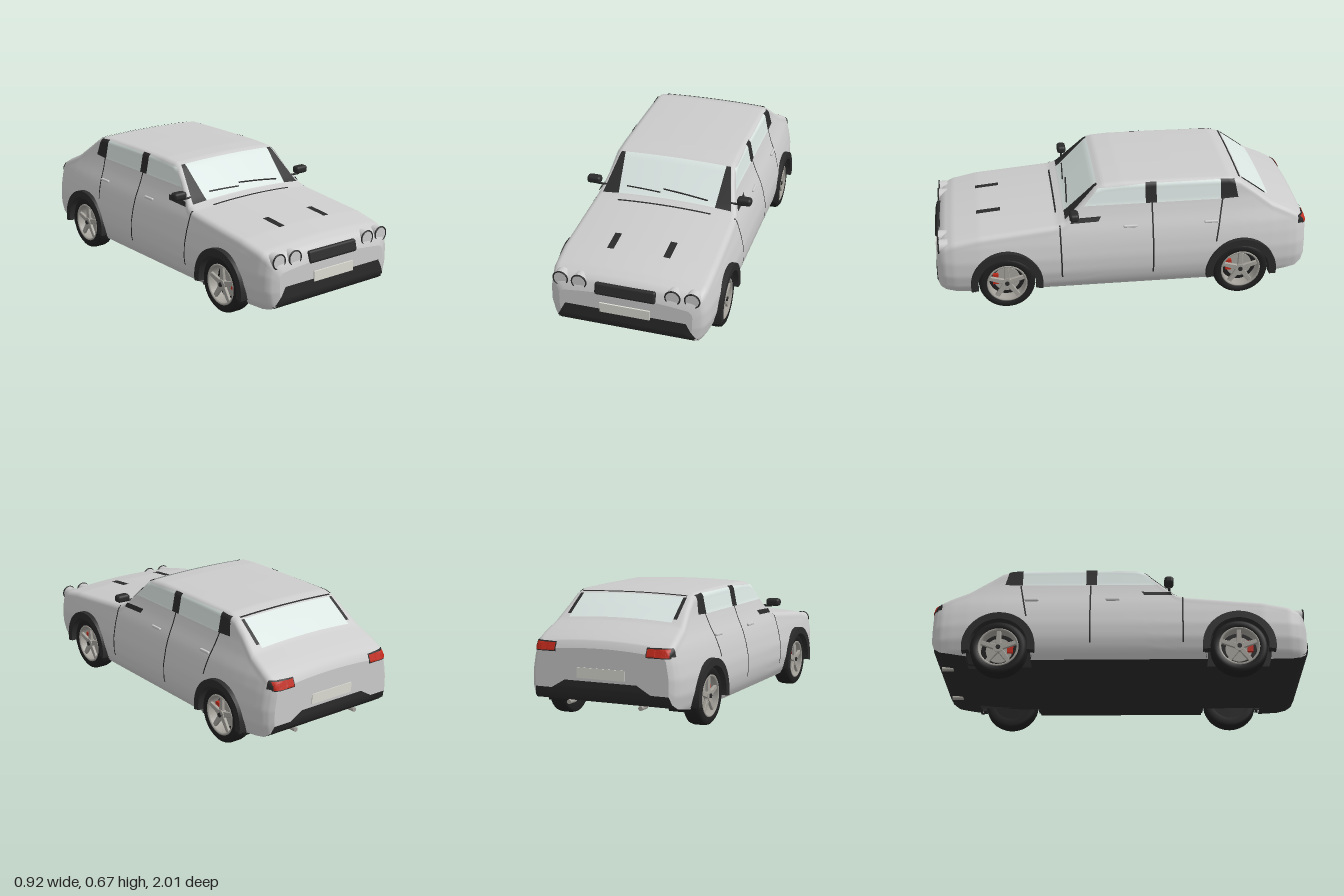
import * as THREE from 'three';
import { RoundedBoxGeometry } from 'three/addons/geometries/RoundedBoxGeometry.js';

const mat = (color, side = THREE.DoubleSide) => new THREE.MeshStandardMaterial({ color, side });
const GREY = mat(0xcccccc), BLACK = mat(0x2b2b2c), RUBBER = mat(0x1f1f20), GLASS = mat(0xd9e4e1);
const RIM = mat(0xa5a29b), RED = mat(0xc02a1c), PLATE = mat(0xdcdcd4);
const WHEEL_Z = [0.625, -0.64], WHEEL_Y = 0.15;

// Body rows along z: [z, bottom, top, half width]
const ROWS = [
  [-1, .2, .41, .37], [-.985, .16, .445, .39], [-.95, .135, .465, .41], [-.9, .125, .49, .42],
  [-.81, .11, .53, .43], [-.72, .1, .595, .435], [-.64, .095, .65, .437], [-.58, .09, .668, .437],
  [-.3, .09, .672, .437], [0, .09, .672, .437], [.1, .09, .665, .437], [.14, .09, .648, .437],
  [.3, .09, .495, .437], [.35, .09, .478, .437], [.76, .09, .44, .433], [.9, .095, .413, .42],
  [.95, .105, .39, .405], [.975, .12, .365, .385], [.99, .15, .32, .35],
];
// Share of the half width at each height
const SIDE = [[.09, .9], [.13, .96], [.2, 1], [.28, 1], [.36, .965], [.42, .925], [.49, .855], [.56, .8], [.67, .75]];
const R = 0.035; // shoulder radius

function lookup(table, x) {
  let i = 1;
  while (i < table.length - 1 && table[i][0] < x) i++;
  const a = table[i - 1], b = table[i];
  const t = THREE.MathUtils.clamp((x - a[0]) / (b[0] - a[0]), 0, 1);
  return a.map((v, k) => v + (b[k] - v) * t);
}
function row(z) {
  const [, B, T, W] = lookup(ROWS, z);
  const crown = THREE.MathUtils.mapLinear(THREE.MathUtils.clamp(T, .45, .65), .45, .65, .02, .008);
  const yS = T - crown - R, E = W * lookup(SIDE, yS)[1] - R;
  return { B, T, W, crown, yS, E };
}
function sideX(z, y) {
  const { W, yS } = row(z), t = THREE.MathUtils.clamp((y - yS) / R, 0, 1);
  return W * lookup(SIDE, Math.min(y, yS))[1] - R * (1 - Math.sqrt(1 - t * t));
}
function topY(z, x) {
  const { T, crown, yS, E } = row(z), ax = Math.abs(x);
  if (ax < E) return T - crown * (x / E) ** 2;
  return yS + R * Math.sqrt(Math.max(0, 1 - ((ax - E) / R) ** 2));
}
// Where the nose (dir 1) or tail (dir -1) is met at x, y
function endZ(dir, x, y) {
  let z = dir > 0 ? .99 : -1;
  for (let i = 0; i < 120; i++, z -= dir * .002) {
    const { B, T, crown } = row(z);
    if (y >= B && y <= topY(z, x) && Math.abs(x) <= sideX(z, Math.min(y, T - crown))) break;
  }
  return z;
}

// Indexed grid from a point rule, with an optional test for leaving cells out
function grid(fn, nu, nv, keep = () => true) {
  const P = [], idx = [];
  for (let i = 0; i <= nu; i++) for (let j = 0; j <= nv; j++) P.push(fn(i / nu, j / nv, i, j));
  for (let i = 0; i < nu; i++) for (let j = 0; j < nv; j++) {
    const a = i * (nv + 1) + j, b = a + nv + 1;
    if (keep(P[a].clone().add(P[b + 1]).multiplyScalar(.5))) idx.push(a, b, a + 1, b, b + 1, a + 1);
  }
  const g = new THREE.BufferGeometry().setFromPoints(P);
  g.setIndex(idx);
  g.computeVertexNormals();
  return g;
}
const bilinear = (c, u, v) => [0, 1].map(k =>
  (c[0][k] * (1 - u) + c[1][k] * u) * (1 - v) + (c[3][k] * (1 - u) + c[2][k] * u) * v);

export function createModel() {
  const car = new THREE.Group();
  car.name = 'car';
  const add = (name, geo, material, parent = car, pos = [0, 0, 0], rot = [0, 0, 0]) => {
    const m = new THREE.Mesh(geo, material);
    m.name = name;
    m.position.set(...pos);
    m.rotation.set(...rot);
    parent.add(m);
    return m;
  };
  // Panels lying on the body: side corners are [z, y], end corners [x, y], top corners [x, z]
  const sidePanel = (name, s, c, m, eps = .004) => add(name, grid((u, v) => {
    const [z, y] = bilinear(c, u, v);
    return new THREE.Vector3(s * (sideX(z, y) + eps), y, z);
  }, 16, 14), m);
  const endPanel = (name, dir, c, m, eps = .005) => add(name, grid((u, v) => {
    const [x, y] = bilinear(c, u, v);
    return new THREE.Vector3(x, y, endZ(dir, x, y) + dir * eps);
  }, 32, 8), m);
  const topPanel = (name, c, m, eps = .005) => add(name, grid((u, v) => {
    const [x, z] = bilinear(c, u, v);
    return new THREE.Vector3(x, topY(z, x) + eps, z);
  }, 16, 12), m);

  // Body shell and floor, open at the wheel wells
  const half = z => {
    const { B, T, crown, yS, E } = row(z), floor = [], shell = [], x0 = sideX(z, B);
    for (let i = 0; i <= 12; i++) floor.push([x0 * i / 12, B]);
    for (let i = 0; i <= 22; i++) { const y = B + (yS - B) * i / 22; shell.push([sideX(z, y), y]); }
    for (let i = 1; i <= 5; i++) {
      const a = i / 5 * Math.PI / 2;
      shell.push([E + R * Math.cos(a), yS + R * Math.sin(a)]);
    }
    for (let i = 7; i >= 0; i--) { const x = E * i / 8; shell.push([x, T - crown * (i / 8) ** 2]); }
    return { floor, shell };
  };
  const zs = ROWS.slice(1).flatMap((r, i) => {
    const a = ROWS[i][0], n = Math.ceil((r[0] - a) / .016);
    return Array.from({ length: n }, (_, k) => a + (r[0] - a) * k / n);
  }).concat(.99);
  const loft = key => {
    const loops = zs.map(z => {
      const h = half(z)[key], m = h.map(([x, y]) => [-x, y]).reverse();
      const pts = key === 'shell' ? [...h, ...m.slice(1)] : [...m, ...h.slice(1)];
      return pts.map(([x, y]) => new THREE.Vector3(x, y, z));
    });
    return grid((u, v, i, j) => loops[i][j], loops.length - 1, loops[0].length - 1,
      p => !(Math.abs(p.x) > .29 && WHEEL_Z.some(w => Math.hypot(p.z - w, p.y - WHEEL_Y) < .175)));
  };
  add('body', loft('shell'), GREY);
  add('underbody', loft('floor'), BLACK);
  for (const [name, z] of [['nose', .99], ['tail', -1]]) {
    const s = new THREE.Shape(half(z).shell.flatMap(([x, y]) => [new THREE.Vector2(x, y)]));
    half(z).shell.reverse().forEach(([x, y]) => s.lineTo(-x, y));
    add(name, new THREE.ShapeGeometry(s), GREY, car, [0, 0, z]);
  }

  // Windscreen, rear window and their dark frames
  topPanel('windscreen', [[-.27, .305], [.27, .305], [.285, .13], [-.285, .13]], GLASS);
  topPanel('rearWindow', [[-.29, -.8], [.29, -.8], [.285, -.65], [-.285, -.65]], GLASS);
  topPanel('rearWindowSeal', [[-.3, -.632], [.3, -.632], [.3, -.642], [-.3, -.642]], BLACK);
  topPanel('bonnetGap', [[-.26, .352], [.26, .352], [.26, .343], [-.26, .343]], BLACK, .002);
  for (const s of [-1, 1]) {
    topPanel('windscreenPillar', [[s * .27, .305], [s * .36, .305], [s * .308, .13], [s * .285, .13]], BLACK);
    topPanel('rearPillarTrim', [[s * .29, -.78], [s * .31, -.78], [s * .303, -.65], [s * .285, -.65]], BLACK);
    topPanel('bonnetVent', [[s * .15 - .018, .77], [s * .15 + .018, .77], [s * .15 + .018, .64], [s * .15 - .018, .64]], BLACK, .007);
  }
  // Wipers
  for (const [x1, z1, x2, z2] of [[-.23, .275, -.04, .285], [-.025, .27, .225, .285]]) {
    const pts = [0, .5, 1].map(t => {
      const x = x1 + (x2 - x1) * t, z = z1 + (z2 - z1) * t;
      return new THREE.Vector3(x, topY(z, x) + .011, z);
    });
    add('wiper', new THREE.TubeGeometry(new THREE.CatmullRomCurve3(pts), 8, .004, 6), BLACK);
  }

  // Side glass, pillars, door gaps, handles and mirrors
  for (const s of [-1, 1]) {
    sidePanel('frontSideWindow', s, [[.205, .55], [-.126, .55], [-.126, .653], [.125, .64]], GLASS);
    sidePanel('rearSideWindow', s, [[-.185, .55], [-.53, .55], [-.53, .653], [-.185, .653]], GLASS);
    sidePanel('centrePillar', s, [[-.126, .55], [-.185, .55], [-.185, .658], [-.126, .658]], BLACK, .005);
    sidePanel('rearQuarterTrim', s, [[-.53, .55], [-.625, .555], [-.605, .65], [-.53, .655]], BLACK, .005);
    sidePanel('mirrorMount', s, [[.28, .468], [.13, .472], [.115, .497], [.27, .492]], BLACK, .008);
    const gap = (z1, y1, z2, y2) => sidePanel('doorGap', s,
      [[z1 + .004, y1], [z1 - .004, y1], [z2 - .004, y2], [z2 + .004, y2]], BLACK, .003);
    gap(.33, .17, .335, .46);
    gap(-.16, .17, -.16, .55);
    gap(-.5, .33, -.54, .55);
    for (const z of [-.04, -.475]) {
      const x = sideX(z, .44);
      add('doorHandle', new RoundedBoxGeometry(.014, .014, .075, 2, .005), GREY, car, [s * (x + .006), .44, z]);
    }
    add('mirror', new RoundedBoxGeometry(.078, .042, .05, 3, .016), BLACK, car, [s * .421, .53, .262]);
    add('mirrorArm', new THREE.CylinderGeometry(.006, .006, .07, 8), BLACK, car, [s * .375, .508, .265], [0, 0, Math.PI / 2]);
  }

  // Front: grille, plate, lower intake and paired round lamps
  const rect = (x, y1, y2) => [[-x, y1], [x, y1], [x, y2], [-x, y2]];
  add('grille', new RoundedBoxGeometry(.32, .065, .03, 3, .013), BLACK, car, [0, .338, .98], [-.25, 0, 0]);
  endPanel('lowerIntake', 1, [[-.38, .108], [.38, .108], [.318, .225], [-.318, .225]], BLACK);
  add('frontPlate', new THREE.BoxGeometry(.264, .053, .008), PLATE, car, [0, .237, .996]);
  for (const s of [-1, 1]) for (const x of [.245, .345]) {
    const z = endZ(1, s * x, .345);
    add('headlamp', new THREE.CylinderGeometry(.037, .037, .05, 32), GREY, car, [s * x, .354, z - .022], [Math.PI / 2, 0, 0]);
    add('headlampRing', new THREE.TorusGeometry(.038, .004, 8, 36), BLACK, car, [s * x, .354, z + .002]);
  }

  // Rear: lamps, plate, valance and exhaust tips
  endPanel('rearValance', -1, [[-.38, .14], [.38, .14], [.2, .245], [-.2, .245]], BLACK);
  add('rearPlate', new THREE.BoxGeometry(.264, .053, .008), PLATE, car, [0, .285, -1]);
  for (const s of [-1, 1]) {
    endPanel('tailLampFrame', -1, [[s * .25, .383], [s * .375, .383], [s * .375, .432], [s * .25, .432]], BLACK, .005);
    endPanel('tailLamp', -1, [[s * .255, .388], [s * .37, .388], [s * .37, .427], [s * .255, .427]], RED, .008);
    sidePanel('tailLampSide', s, [[-.955, .39], [-.995, .39], [-.985, .43], [-.955, .43]], BLACK, .005);
    add('exhaustTip', new THREE.CylinderGeometry(.012, .012, .06, 12), RIM, car, [s * .2, .125, -.935], [Math.PI / 2, 0, 0]);
  }

  // Wheels with arches and wells, built facing local +z
  const V = (x, y) => new THREE.Vector2(x, y);
  const tyre = new THREE.LatheGeometry([V(.1, .34), V(.135, .337), V(.146, .345), V(.15, .36), V(.15, .41),
    V(.146, .423), V(.135, .432), V(.11, .432), V(.104, .42)], 48).rotateX(Math.PI / 2);
  const rim = new THREE.LatheGeometry([V(.096, .36), V(.096, .425), V(.101, .433), V(.108, .43), V(.108, .42)], 40).rotateX(Math.PI / 2);
  const a0 = -.15, a1 = Math.PI + .15;
  const arch = new THREE.Shape();
  arch.absarc(0, 0, .192, a0, a1, false);
  arch.absarc(0, 0, .154, a1, a0, true);
  const archGeo = new THREE.ExtrudeGeometry(arch, { depth: .052, bevelEnabled: false, curveSegments: 32 });
  const wall = new THREE.Shape().absarc(0, 0, .18, -.33, Math.PI + .33, false);
  const wallGeo = new THREE.ShapeGeometry(wall, 32);
  const wellGeo = grid((u, v) => {
    const a = -.33 + u * (Math.PI + .66);
    return new THREE.Vector3(.18 * Math.cos(a), .18 * Math.sin(a), .28 + .13 * v);
  }, 32, 1);
  const spoke = new THREE.Shape([V(-.013, .015), V(.013, .015), V(.009, .1), V(-.009, .1)]);
  const spokeGeo = new THREE.ExtrudeGeometry(spoke, { depth: .012, bevelEnabled: true, bevelSize: .002, bevelThickness: .002, bevelSegments: 1 });
  const disc = (r, h) => new THREE.CylinderGeometry(r, r, h, 32).rotateX(Math.PI / 2);
  for (const s of [-1, 1]) for (const wz of WHEEL_Z) {
    const w = new THREE.Group();
    w.name = (wz > 0 ? 'front' : 'rear') + (s > 0 ? 'Left' : 'Right') + 'Wheel';
    w.position.set(0, WHEEL_Y, wz);
    w.rotation.y = s * Math.PI / 2;
    car.add(w);
    add('tyre', tyre, RUBBER, w);
    add('rim', rim, RIM, w);
    add('wheelBack', disc(.1, .02), RUBBER, w, [0, 0, .36]);
    add('brakeDisc', disc(.07, .008), RIM, w, [0, 0, .378]);
    add('brakeCaliper', new THREE.BoxGeometry(.03, .06, .018), RED, w, [-s * .06, .012, .39]);
    add('hub', disc(.027, .025), RIM, w, [0, 0, .416]);
    add('hubCap', disc(.012, .008), BLACK, w, [0, 0, .43]);
    for (let i = 0; i < 5; i++) add('spoke', spokeGeo, RIM, w, [0, 0, .41], [0, 0, i * Math.PI * .4]);
    add('wheelArch', archGeo, BLACK, w, [0, 0, .4]);
    add('wheelWell', wellGeo, RUBBER, w);
    add('wheelWellWall', wallGeo, RUBBER, w, [0, 0, .28]);
  }
  return car;
}
